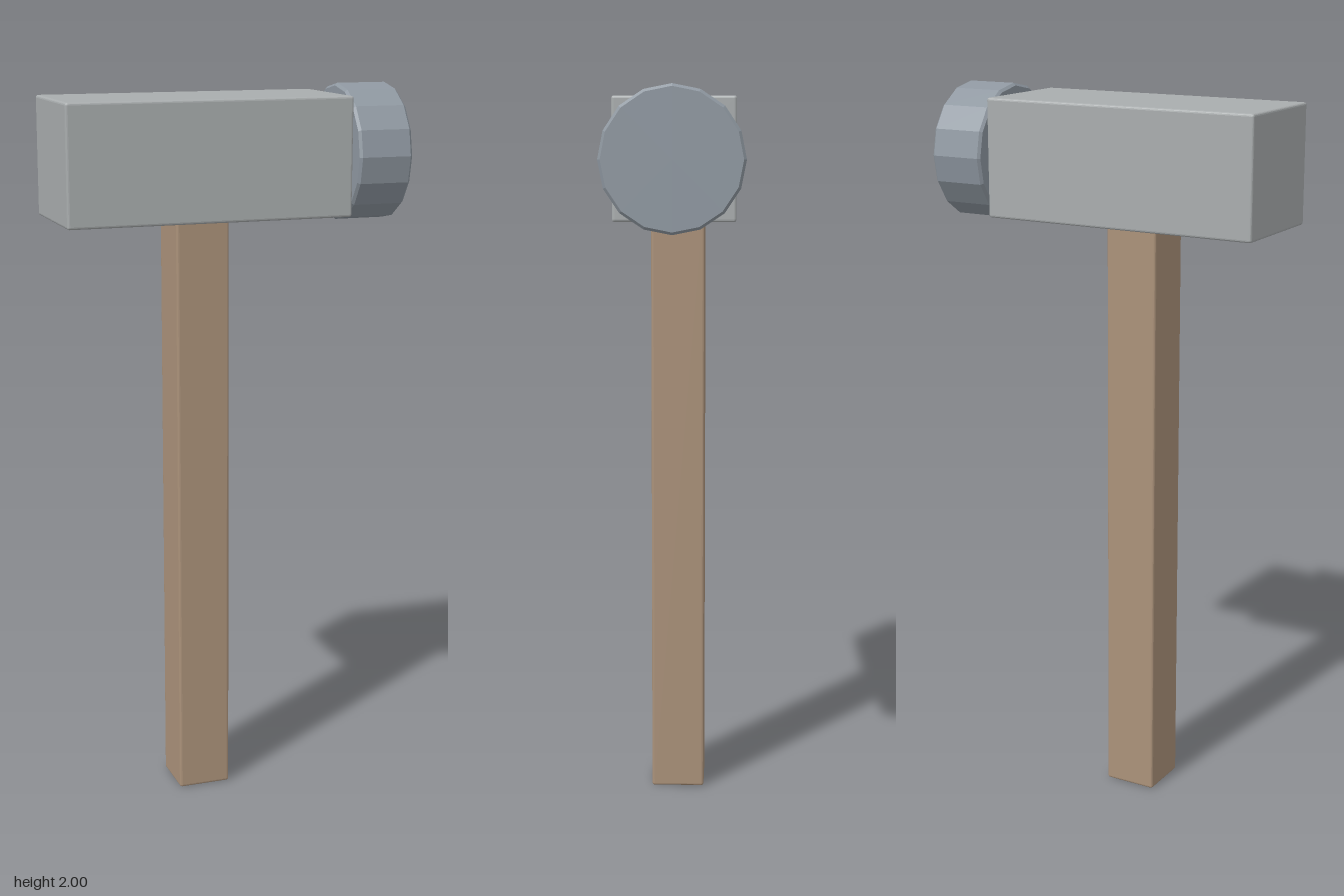
import * as THREE from 'three';
import { RoundedBoxGeometry } from 'three/addons/geometries/RoundedBoxGeometry.js';

const BEVEL = 0.007;

function material(color) {
  return new THREE.MeshStandardMaterial({ color, flatShading: true });
}

// Softly bevelled box given by its minimum and maximum corners
function block(name, min, max, color) {
  const size = max.map((v, i) => v - min[i]);
  const mesh = new THREE.Mesh(new RoundedBoxGeometry(...size, 2, BEVEL), material(color));
  mesh.position.set(...max.map((v, i) => (v + min[i]) / 2));
  mesh.name = name;
  return mesh;
}

// Sixteen-sided disc with bevelled rims, lying along x
function disc(name, x0, x1, y, radius, color) {
  const h = (x1 - x0) / 2;
  const profile = [
    [0, -h], [radius - BEVEL, -h], [radius, -h + BEVEL],
    [radius, h - BEVEL], [radius - BEVEL, h], [0, h],
  ].map(([r, t]) => new THREE.Vector2(r, t));
  const mesh = new THREE.Mesh(new THREE.LatheGeometry(profile, 16), material(color));
  mesh.rotation.z = -Math.PI / 2;
  mesh.position.set((x0 + x1) / 2, y, 0);
  mesh.name = name;
  return mesh;
}

export function createModel() {
  const hammer = new THREE.Group();
  hammer.name = 'hammer';
  hammer.add(
    // Square wooden shaft
    block('handle', [-0.158, 0, -0.075], [-0.009, 1.655, 0.075], 0xab927a),
    // Long square head
    block('head', [-0.479, 1.652, -0.162], [0.313, 1.975, 0.162], 0xa9adae),
    // Round striking face, set just off the head
    disc('strikingFace', 0.324, 0.478, 1.813, 0.187, 0x8f98a1),
  );
  return hammer;
}
